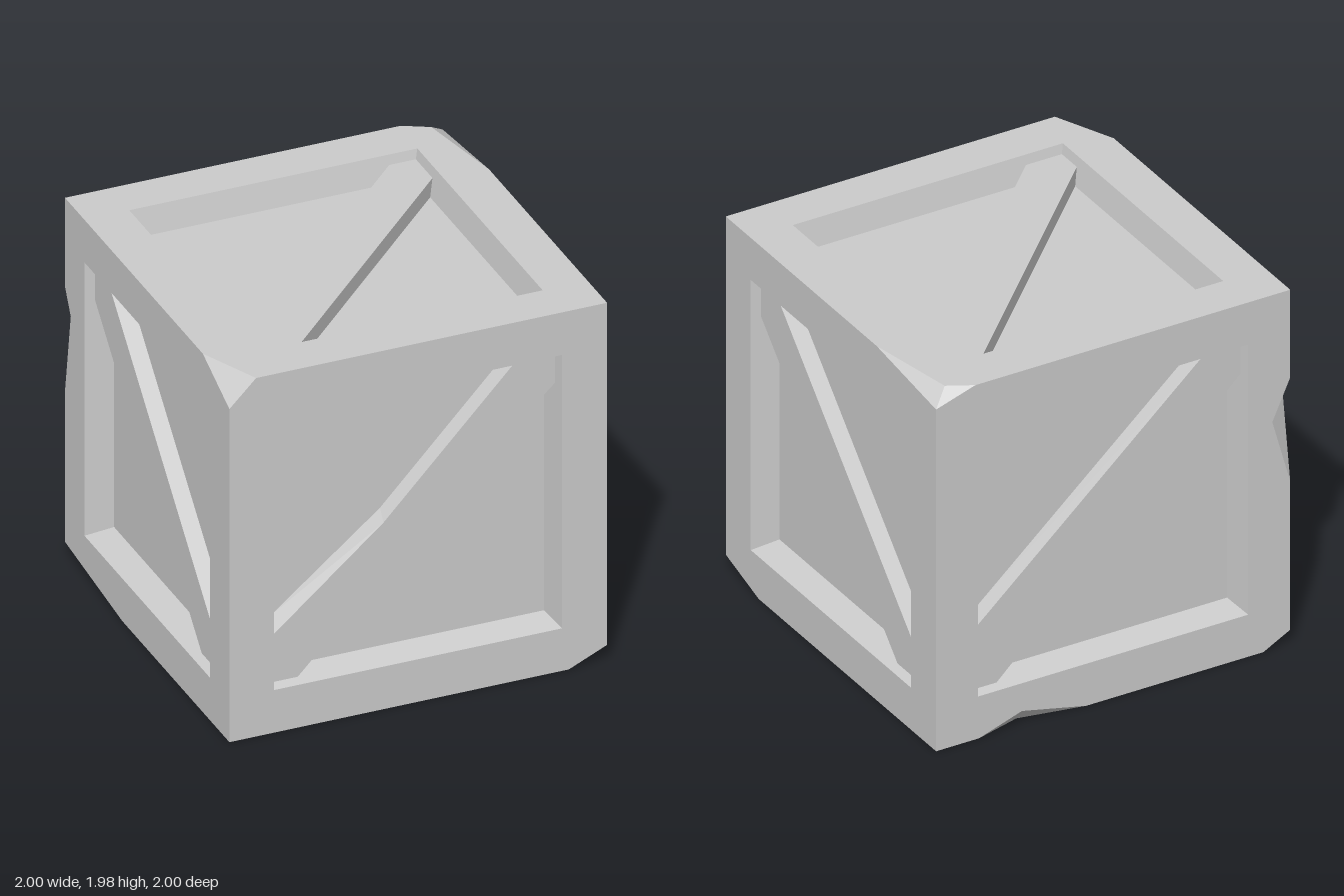
import * as THREE from 'three';

const H = 0.99;         // half the crate's side
const OPEN = 0.755;     // half opening at the frame surface
const FLOOR = 0.72;     // half opening at the sunken panel
const PANEL_Z = H - 0.14;
const BRACE_Z = H - 0.05;

const material = new THREE.MeshStandardMaterial({ color: 0xcccccc, flatShading: true });

// Points shared by the frame faces and the chips
const P = {
  // whole corners
  G: [H, H, H], K: [-H, H, -H], I: [-H, -H, H], J: [H, -H, -H],
  // chipped corners
  A1: [-0.85, H, H], A2: [-H, 0.85, H], A3: [-H, H, 0.67],
  B1: [0.77, H, -H], B2: [0.9, H, -0.92], B3: [H, H, -0.43], B4: [H, 0.92, -H],
  C1: [0.79, -H, H], C2: [H, -0.9, H], C3: [H, -H, 0.68],
  D1: [-0.84, -H, -H], D2: [-H, -0.91, -H], D3: [-H, -H, -0.3],
  // notches in the edges
  E1: [-H, 0.5, -H], E2: [-H, -0.08, -H], E3: [-0.89, 0.28, -H], E4: [-H, 0.37, -0.92],
  F1: [0.75, -H, -H], F2: [0.15, -H, -H], F3: [0.51, -0.91, -H], F4: [0.5, -H, -0.92],
};
const point = (key) => new THREE.Vector3(...P[key]);

function mesh(name, geometry) {
  const m = new THREE.Mesh(geometry, material);
  m.name = name;
  return m;
}

function fromPositions(positions) {
  const g = new THREE.BufferGeometry();
  g.setAttribute('position', new THREE.Float32BufferAttribute(positions, 3));
  g.computeVertexNormals();
  return g;
}

// Walls between two rings of matching 2D points at different depths
function walls(name, top, topZ, base, baseZ) {
  const pos = [];
  top.forEach((_, i) => {
    const j = (i + 1) % top.length;
    const a = [...top[i], topZ], b = [...base[i], baseZ];
    const c = [...base[j], baseZ], d = [...top[j], topZ];
    pos.push(...a, ...b, ...c, ...a, ...c, ...d);
  });
  return mesh(name, fromPositions(pos));
}

const toShape = (pts) => new THREE.Shape(pts.map(([x, y]) => new THREE.Vector2(x, y)));
const square = (k) => [[-k, -k], [k, -k], [k, k], [-k, k]];

// Six-sided diagonal outline; u and l are the widths above and below the diagonal at each end
const diagonal = (k, [u0, l0, u1, l1]) => [
  [-k, -k], [-k + l0, -k], [k, k - l1], [k, k], [k - u1, k], [-k, -k + u0],
];
const straightBrace = (widths) => ({ top: diagonal(0.742, widths), base: diagonal(FLOOR, widths) });
const mirror = ({ top, base }) => {
  const flip = (pts) => pts.map(([x, y]) => [-x, y]).reverse();
  return { top: flip(top), base: flip(base) };
};

const plain = straightBrace([0.14, 0.2, 0.14, 0.2]);
const uneven = straightBrace([0.34, 0.12, 0.2, 0.17]);
// Bent brace with splayed sides
const bent = {
  top: [[-0.74, -0.74], [-0.61, -0.74], [0.07, -0.04], [0.74, 0.58],
    [0.74, 0.74], [0.53, 0.74], [-0.16, 0.01], [-0.74, -0.48]],
  base: [[-0.72, -0.72], [-0.5, -0.72], [0.12, -0.07], [0.72, 0.49],
    [0.72, 0.72], [0.5, 0.72], [-0.14, 0.04], [-0.72, -0.43]],
};

const Q = Math.PI / 2;
const SIDES = [
  { name: 'front', rot: [0, 0, 0], outline: 'A2 A1 G C2 C1 I', brace: bent },
  { name: 'right', rot: [0, Q, 0], outline: 'G B3 B4 J C3 C2', brace: mirror(plain) },
  { name: 'back', rot: [0, 2 * Q, 0], outline: 'K B1 B4 J F1 F3 F2 D1 D2 E2 E3 E1', brace: uneven },
  { name: 'left', rot: [0, -Q, 0], outline: 'K A3 A2 I D3 D2 E2 E4 E1', brace: mirror(plain) },
  { name: 'top', rot: [-Q, 0, 0], outline: 'A1 G B3 B2 B1 K A3', brace: plain },
  { name: 'bottom', rot: [Q, 0, 0], outline: 'C1 C3 J F1 F4 F2 D1 D3 I', brace: plain },
];

// One crate side: frame, sloping recess, sunken panel and diagonal brace
function createSide({ name, rot, outline, brace }) {
  const side = new THREE.Group();
  side.name = name + 'Side';
  side.rotation.set(...rot);
  const inverse = new THREE.Quaternion().setFromEuler(side.rotation).invert();

  const frame = toShape(outline.split(' ').map((key) => {
    const v = point(key).applyQuaternion(inverse);
    return [v.x, v.y];
  }));
  frame.holes.push(toShape(square(OPEN)));
  side.add(mesh('frame', new THREE.ShapeGeometry(frame).translate(0, 0, H)));

  side.add(walls('recessWalls', square(OPEN).reverse(), H, square(FLOOR).reverse(), PANEL_Z));
  side.add(mesh('panel', new THREE.PlaneGeometry(2 * FLOOR, 2 * FLOOR).translate(0, 0, PANEL_Z)));

  side.add(mesh('braceFace', new THREE.ShapeGeometry(toShape(brace.top)).translate(0, 0, BRACE_Z)));
  side.add(walls('braceSides', brace.top, BRACE_Z, brace.base, PANEL_Z));
  return side;
}

// Broken facets at the chipped corners and notched edges, turned outward
function createChips() {
  const facets = ['A1 A2 A3', 'B1 B2 B4', 'B2 B3 B4', 'C1 C2 C3', 'D1 D2 D3',
    'E1 E3 E4', 'E2 E3 E4', 'F1 F3 F4', 'F2 F3 F4'];
  const pos = [];
  for (const facet of facets) {
    const [a, b, c] = facet.split(' ').map(point);
    const normal = new THREE.Triangle(a, b, c).getNormal(new THREE.Vector3());
    const order = normal.dot(a.clone().add(b).add(c)) > 0 ? [a, b, c] : [a, c, b];
    order.forEach((v) => pos.push(v.x, v.y, v.z));
  }
  return mesh('chips', fromPositions(pos));
}

export function createModel() {
  const crate = new THREE.Group();
  crate.name = 'crate';
  SIDES.forEach((side) => crate.add(createSide(side)));
  crate.add(createChips());
  crate.position.y = H;
  crate.rotation.y = 0.01; // stands very slightly turned

  const model = new THREE.Group();
  model.name = 'woodenCrate';
  model.add(crate);
  return model;
}
